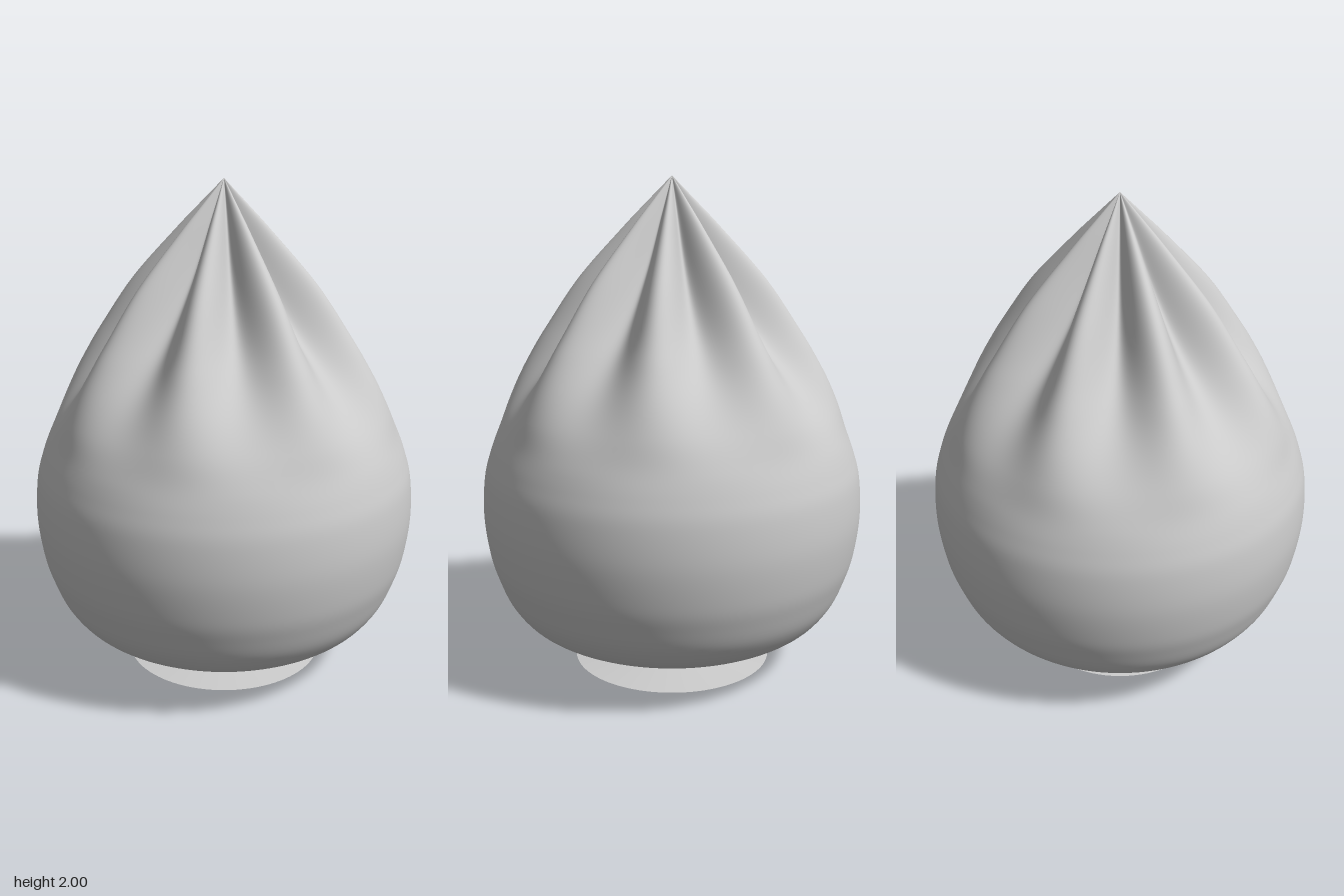
import * as THREE from 'three';
import { mergeVertices } from 'three/addons/utils/BufferGeometryUtils.js';

const PLEATS = 8;

// Outline of the body along the ridges: [radius, height]
const PROFILE = [
  [0, 0.05], [0.27, 0.096], [0.46, 0.137], [0.6, 0.2], [0.682, 0.29], [0.73, 0.4],
  [0.758, 0.5], [0.776, 0.65], [0.768, 0.8], [0.743, 0.9], [0.707, 1.0], [0.674, 1.1],
  [0.631, 1.2], [0.577, 1.3], [0.515, 1.4], [0.377, 1.6], [0.196, 1.8], [0.099, 1.9], [0, 2],
];

// Revolved bulb whose upper part is drawn into pleats that meet at the tip
function pleatedBody() {
  const spline = new THREE.SplineCurve(PROFILE.map(([r, y]) => new THREE.Vector2(r, y)));
  const points = spline.getPoints(108);
  points.forEach((p) => { p.x = Math.max(p.x, 0); });
  let geometry = new THREE.LatheGeometry(points, 256);

  const pos = geometry.attributes.position;
  for (let i = 0; i < pos.count; i++) {
    const x = pos.getX(i), y = pos.getY(i), z = pos.getZ(i);
    const angle = Math.atan2(x, z);
    const depth = 0.46 * THREE.MathUtils.smoothstep(y, 0.95, 1.75);
    // valleys face the axes and diagonals, ridges lie halfway between
    const scale = 1 - depth * (1 + Math.cos(PLEATS * angle)) / 2;
    pos.setXYZ(i, x * scale, y, z * scale);
  }

  // Weld the seam so the shading runs smoothly all round
  geometry.deleteAttribute('uv');
  geometry.deleteAttribute('normal');
  geometry = mergeVertices(geometry, 1e-5);
  geometry.computeVertexNormals();
  return geometry;
}

export function createModel() {
  const group = new THREE.Group();
  const material = new THREE.MeshStandardMaterial({ color: 0xcccccc, side: THREE.DoubleSide });

  const body = new THREE.Mesh(pleatedBody(), material);
  body.name = 'pleatedBody';
  group.add(body);

  // Shallow cone with a flat underside, touching the body at its point
  const base = new THREE.Mesh(new THREE.ConeGeometry(0.41, 0.05, 96), material);
  base.name = 'base';
  base.position.y = 0.025;
  group.add(base);

  return group;
}
